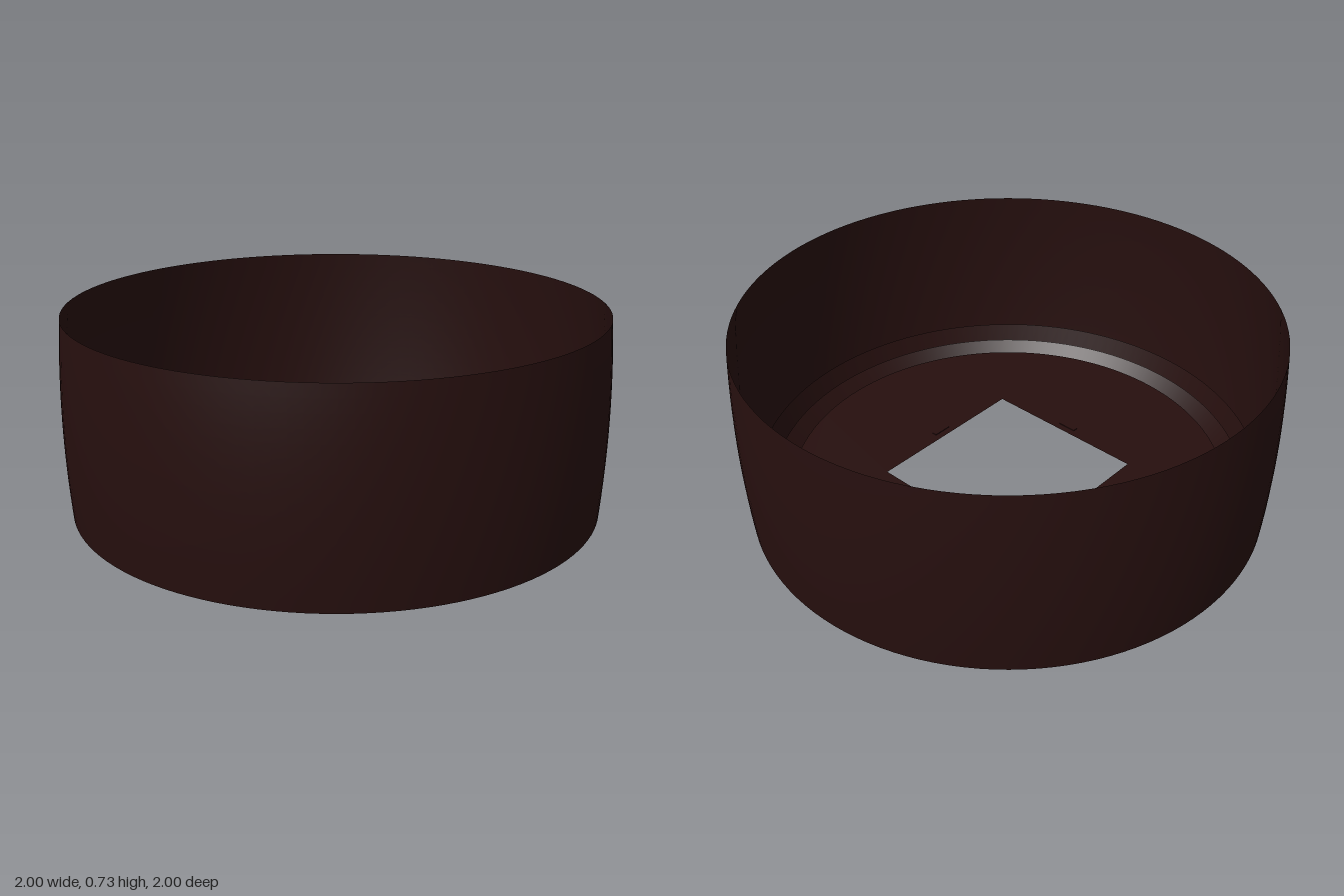
import * as THREE from 'three';

export function createModel() {
  const group = new THREE.Group();
  group.name = 'ringHousing';
  const material = new THREE.MeshStandardMaterial({ color: 0x260f0e, side: THREE.DoubleSide });
  material.name = 'darkMaroon';

  const add = (name, geometry) => {
    const mesh = new THREE.Mesh(geometry, material);
    mesh.name = name;
    group.add(mesh);
    return mesh;
  };
  const shell = (name, points) =>
    add(name, new THREE.LatheGeometry(points.map(([r, y]) => new THREE.Vector2(r, y)), 128));

  // Gently barrelled outer wall, open at both ends
  const wall = [];
  for (let i = 0; i <= 16; i++) {
    const t = i / 8 - 1;
    wall.push([1 - 0.015 * t * t, 0.365 * (t + 1)]);
  }
  shell('outerWall', wall);

  // Two nested sloping rings, with open gaps between them
  shell('middleRing', [[0.92, 0], [0.955, 0.12]]);
  shell('innerRing', [[0.84, 0], [0.903, 0.07]]);

  // Floor disc with a square opening
  const floor = new THREE.Shape().absarc(0, 0, 0.835, 0, Math.PI * 2, false);
  const h = 0.332;
  floor.holes.push(new THREE.Path([[-h, -h], [-h, h], [h, h], [h, -h]].map(([x, y]) => new THREE.Vector2(x, y))));
  add('floorDisc', new THREE.ShapeGeometry(floor, 128).rotateX(-Math.PI / 2).translate(0, 0.046, 0));

  // Small plates beside each edge of the opening
  for (let i = 0; i < 4; i++) {
    const plate = add('edgePlate', new THREE.BoxGeometry(0.075, 0.006, 0.022).translate(0, 0.046, 0.37));
    plate.rotation.y = i * Math.PI / 2;
  }
  return group;
}
